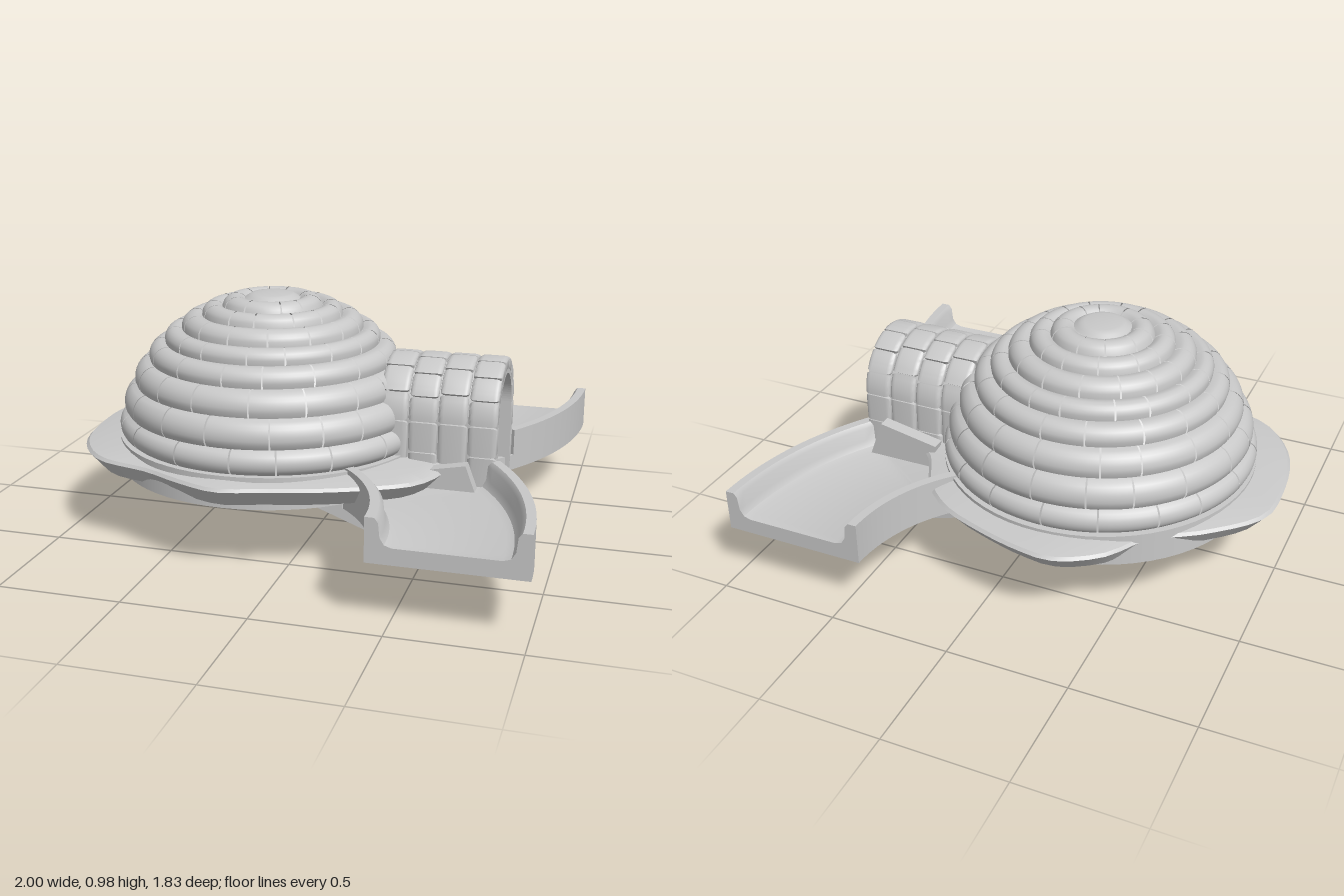
import * as THREE from 'three';
import { mergeGeometries, toCreasedNormals } from 'three/addons/utils/BufferGeometryUtils.js';

const V = (x, y) => new THREE.Vector2(x, y);
const CX = -0.22; // dome centre

export function createModel() {
  const model = new THREE.Group();
  model.name = 'igloo';
  const snow = new THREE.MeshStandardMaterial({ color: 0xc8c8c8, side: THREE.DoubleSide });
  snow.name = 'snow grey';
  const add = (name, geo, parent = model, x = 0, y = 0, z = 0) => {
    const mesh = new THREE.Mesh(geo, snow);
    mesh.name = name;
    mesh.position.set(x, y, z);
    parent.add(mesh);
    return mesh;
  };
  let seed = 7;
  const rand = () => (seed = (seed * 16807) % 2147483647) / 2147483647;

  // Dome: bulging rows of bricks over a smooth core
  const rows = [[0.625, 0.4], [0.615, 0.5], [0.575, 0.615], [0.515, 0.715], [0.45, 0.79], [0.38, 0.845],
    [0.295, 0.9], [0.21, 0.935], [0.115, 0.96], [0, 0.982]].map(p => V(...p));
  const counts = [18, 18, 17, 16, 16, 15, 13, 10, 1];
  add('domeCore', new THREE.LatheGeometry(rows.map(p => V(p.x * 0.985, p.y - 0.012)), 64), model, CX);
  const dome = new THREE.Group();
  dome.name = 'domeBricks';
  model.add(dome);
  counts.forEach((n, i) => {
    const a = rows[i], b = rows[i + 1];
    const d = b.clone().sub(a).normalize();
    const out = V(d.y, -d.x);
    const cap = n === 1;
    const profile = [];
    for (let k = 0; k <= 8; k++) {
      const t = k / 8;
      const bulge = cap ? 0.012 * (1 - t * t) * Math.min(1, t * 4)
        : -0.008 + 0.032 * Math.pow(Math.sin(Math.PI * t), 0.6);
      profile.push(a.clone().lerp(b, t).addScaledVector(out, bulge));
    }
    const step = Math.PI * 2 / n;
    const gap = cap ? 0 : 0.007 / Math.max(a.x, 0.15);
    const offset = (i % 2) * step / 2 + rand() * 0.15;
    const cuts = Array.from({ length: n }, (_, k) => offset + (k + (rand() - 0.5) * 0.3) * step);
    const bricks = cuts.map((start, k) => {
      const end = k + 1 < n ? cuts[k + 1] : cuts[0] + Math.PI * 2;
      return new THREE.LatheGeometry(profile, cap ? 40 : 6, start + gap / 2, end - start - gap);
    });
    add(cap ? 'domeCap' : 'brickRow' + (i + 1), mergeGeometries(bricks), dome, CX);
  });

  // Round base under the dome with a shallow raised disc
  add('base', new THREE.CylinderGeometry(0.645, 0.645, 0.13, 64), model, CX, 0.335);
  add('baseDisc', new THREE.CylinderGeometry(0.43, 0.43, 0.02, 64), model, CX, 0.274);

  // Uneven snow skirt: one outline lofted through scaled levels
  const outline = [[-1, 0], [-0.98, -0.18], [-0.8, -0.37], [-0.61, -0.5], [-0.5, -0.66], [-0.33, -0.76],
    [-0.18, -0.75], [0.03, -0.69], [0.19, -0.62], [0.32, -0.5], [0.42, -0.32], [0.58, -0.15], [0.58, 0.15],
    [0.55, 0.33], [0.48, 0.45], [0.33, 0.54], [0.14, 0.62], [-0.07, 0.68], [-0.22, 0.72], [-0.4, 0.66],
    [-0.56, 0.58], [-0.8, 0.5], [-0.95, 0.3]];
  const curve = new THREE.CatmullRomCurve3(outline.map(([x, z]) => new THREE.Vector3(x - CX, 0, z)), true);
  const ring = curve.getSpacedPoints(72);
  const levels = [[0.5, 0.292], [0.925, 0.292], [1, 0.36], [0.985, 0.372], [0.9, 0.384], [0.75, 0.395]];
  const pos = [], index = [];
  levels.forEach(([s, y]) => ring.forEach(p => pos.push(p.x * s, y, p.z * s)));
  const m = ring.length;
  for (let l = 0; l < levels.length - 1; l++) {
    for (let k = 0; k < m - 1; k++) {
      const a = l * m + k, b = a + 1, c = a + m, d = c + 1;
      index.push(a, b, c, b, d, c);
    }
  }
  const skirtGeo = new THREE.BufferGeometry();
  skirtGeo.setAttribute('position', new THREE.Float32BufferAttribute(pos, 3));
  // Outline runs clockwise or not: orient faces so the rim points outward
  const area = outline.reduce((s, p, i) => {
    const q = outline[(i + 1) % outline.length];
    return s + p[0] * q[1] - q[0] * p[1];
  }, 0);
  if (area > 0) index.reverse();
  skirtGeo.setIndex(index);
  add('snowSkirt', toCreasedNormals(skirtGeo, 0.6), model, CX);

  // Entrance tunnel: liner arch and four rings of rounded bricks
  const R = 0.545, LOW = 0.24; // arch centre height, foot of the walls
  const arch = (r, Type) => {
    const s = new Type();
    s.moveTo(r, LOW);
    s.lineTo(r, R);
    s.absarc(0, R, r, 0, Math.PI, false);
    s.lineTo(-r, LOW);
    return s;
  };
  const liner = arch(0.207, THREE.Shape);
  liner.lineTo(-0.16, LOW);
  liner.lineTo(-0.16, R);
  liner.absarc(0, R, 0.16, Math.PI, 0, true);
  liner.lineTo(0.16, LOW);
  const alongX = g => g.rotateY(Math.PI / 2);
  const tunnel = new THREE.Group();
  tunnel.name = 'tunnel';
  model.add(tunnel);
  add('tunnelLiner', alongX(new THREE.ExtrudeGeometry(liner, { depth: 0.46, bevelEnabled: false, curveSegments: 24 })),
    tunnel, 0.3);
  const ri = 0.182, ro = 0.216, g = 0.013;
  for (let k = 0; k < 4; k++) {
    const bricks = [];
    const opts = { depth: 0.072, bevelThickness: 0.021, bevelSize: 0.011, bevelSegments: 3, curveSegments: 4 };
    const shift = (k % 2) * 0.04;
    for (const side of [-1, 1]) {
      const ys = [LOW, 0.38 + shift, R];
      for (let j = 0; j < 2; j++) {
        const s = new THREE.Shape([V(side * ri, ys[j] + g), V(side * ro, ys[j] + g),
          V(side * ro, ys[j + 1] - g), V(side * ri, ys[j + 1] - g)]);
        bricks.push(new THREE.ExtrudeGeometry(s, opts));
      }
    }
    const n = 6 + (k % 2);
    for (let j = 0; j < n; j++) {
      const a0 = j * Math.PI / n + g / ro, a1 = (j + 1) * Math.PI / n - g / ro;
      const s = new THREE.Shape();
      s.absarc(0, R, ro, a0, a1, false);
      s.absarc(0, R, ri, a1, a0, true);
      bricks.push(new THREE.ExtrudeGeometry(s, opts));
    }
    add('tunnelRing' + (k + 1), alongX(toCreasedNormals(mergeGeometries(bricks), 0.7)), tunnel, 0.312 + k * 0.119);
  }

  // Curved side slides: U profile swept round an arc, mirrored front to back
  const r0 = 0.66, r1 = 1.25, B = 0.235, T = 0.408, F = 0.3;
  const innerWall = [V(r0 + 0.1, F), V(r0 + 0.072, 0.309), V(r0 + 0.056, 0.335), V(r0 + 0.05, 0.39),
    V(r0 + 0.036, T), V(r0, T)];
  const outerWall = [V(r1, T), V(r1 - 0.036, T), V(r1 - 0.05, 0.39), V(r1 - 0.056, 0.335),
    V(r1 - 0.072, 0.309), V(r1 - 0.1, F)];
  const fullU = [V(r0, B), V(r1, B), ...outerWall, ...innerWall];
  const halfU = [V(r0, B), V(r1, B), V(r1, F), ...innerWall];
  const rad = THREE.MathUtils.degToRad;
  const sweep = (name, profile, from, to, parent) => {
    const closed = [...profile, profile[0]];
    const body = new THREE.LatheGeometry(closed, 16, rad(from), rad(to - from));
    const caps = [from, to].map(a => new THREE.ShapeGeometry(new THREE.Shape(profile)).rotateY(rad(a - 90)));
    const parts = [body, ...caps].map(p => toCreasedNormals(p, 0.6));
    add(name, mergeGeometries(parts), parent, -0.25, 0, 0.917);
  };
  for (const side of [1, -1]) {
    const slide = new THREE.Group();
    slide.name = side > 0 ? 'frontSlide' : 'backSlide';
    slide.scale.z = side;
    model.add(slide);
    sweep('slideChannel', fullU, 90, 125, slide);
    sweep('slideStart', halfU, 125, 137, slide);

    // Tilted guard beside the tunnel
    const guard = new THREE.Shape([V(0.4, 0.405), V(0.655, 0.455), V(0.72, 0.28), V(0.42, 0.28)]);
    add('guard', new THREE.ExtrudeGeometry(guard, { depth: 0.055, bevelEnabled: false }),
      slide, 0, side > 0 ? -0.05 : 0, 0.238);
  }

  // Platform joining the slides
  const deck = new THREE.Shape([V(0, 0.44), V(0.2, 0.44), V(0.715, 0.125), V(0.715, -0.125), V(0.2, -0.44), V(0, -0.44)]);
  add('platform', new THREE.ExtrudeGeometry(deck, { depth: 0.062, bevelEnabled: false }).rotateX(-Math.PI / 2),
    model, 0, 0.236);

  // Lower slide: straight channel bent down along x
  const u = new THREE.Shape();
  u.moveTo(-0.298, 0);
  u.lineTo(0.298, 0);
  u.lineTo(0.298, 0.167);
  u.lineTo(0.238, 0.167);
  u.lineTo(0.238, 0.1);
  u.quadraticCurveTo(0.238, 0.058, 0.195, 0.058);
  u.lineTo(-0.195, 0.058);
  u.quadraticCurveTo(-0.238, 0.058, -0.238, 0.1);
  u.lineTo(-0.238, 0.167);
  u.lineTo(-0.298, 0.167);
  const lower = alongX(new THREE.ExtrudeGeometry(u, { depth: 0.835, steps: 20, bevelEnabled: false, curveSegments: 6 }));
  const lp = lower.attributes.position;
  for (let i = 0; i < lp.count; i++) {
    const t = lp.getX(i) / 0.835;
    const drop = ((1 - t) ** 2 + (1 + Math.cos(Math.PI * t)) / 2) / 2;
    lp.setY(i, lp.getY(i) + 0.235 * drop);
  }
  lower.deleteAttribute('normal');
  add('lowerSlide', toCreasedNormals(lower, 0.6), model, -0.14);

  // Icicles under the base
  const icicles = [[-0.34, 0.1, 0.03], [-0.31, 0.09, -0.03], [-0.325, 0.16, 0], [-0.235, 0.07, 0.02],
    [-0.21, 0.17, -0.05], [-0.15, 0.07, 0], [-0.22, 0.13, 0.06]];
  icicles.forEach(([x, tip, z]) => {
    const h = 0.275 - tip;
    add('icicle', new THREE.ConeGeometry(0.014, h, 8).rotateX(Math.PI), model, x, tip + h / 2, z);
  });
  return model;
}
